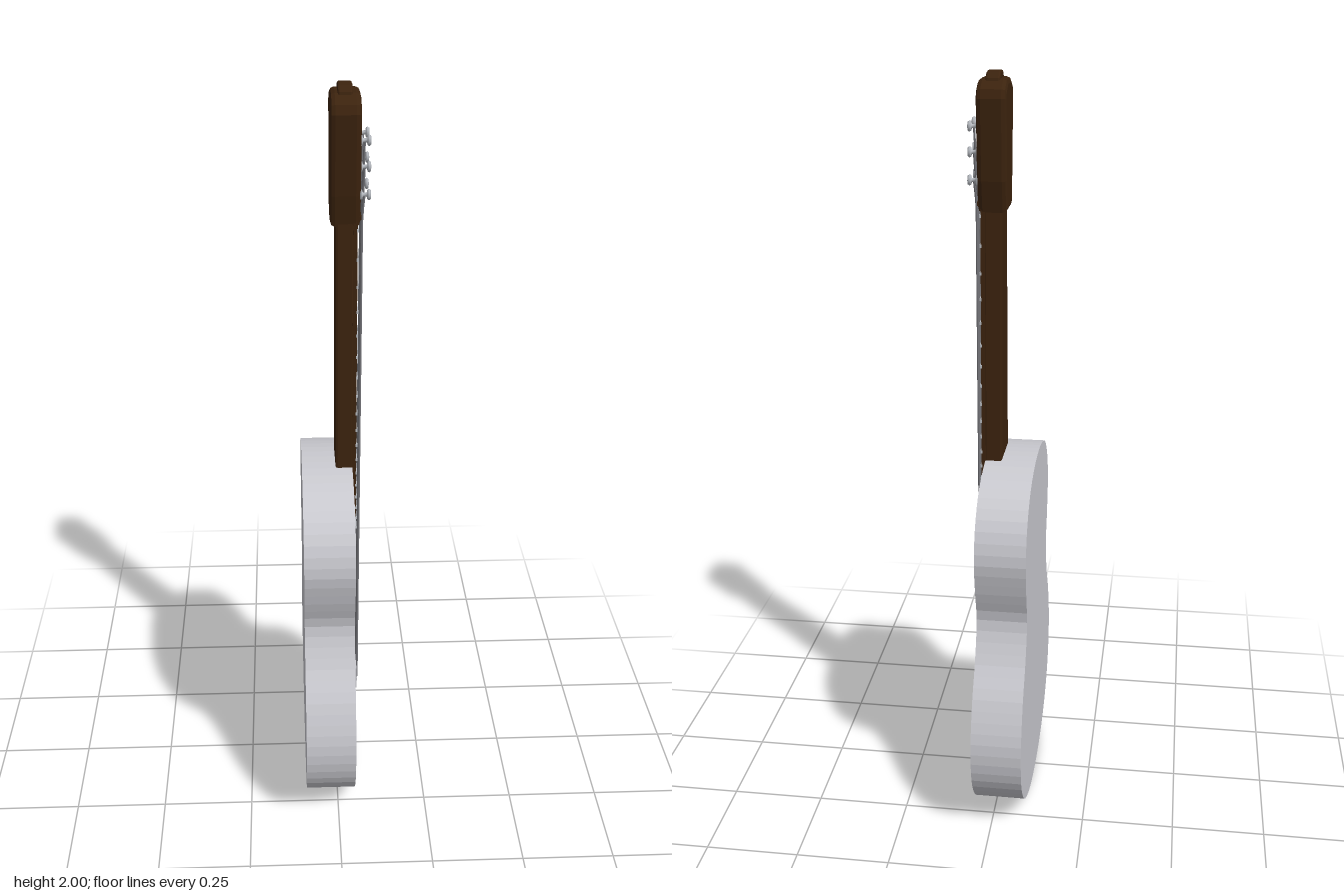
import * as THREE from 'three';

const mat = (name, color) => {
  const m = new THREE.MeshStandardMaterial({ color });
  m.name = name;
  return m;
};

export function createModel() {
  const guitar = new THREE.Group();
  guitar.name = 'guitar';
  const pale = mat('pale grey', 0xcacad0);
  const brown = mat('dark brown', 0x3c230e);
  const steel = mat('string steel', 0x77777c);
  const silver = mat('silver', 0xb8bcc2);

  const add = (name, geometry, material, parent = guitar) => {
    const mesh = new THREE.Mesh(geometry, material);
    mesh.name = name;
    parent.add(mesh);
    return mesh;
  };
  const group = (name) => {
    const g = new THREE.Group();
    g.name = name;
    guitar.add(g);
    return g;
  };
  // Outline given as [z, y], extruded along x from x0 to x1
  const slab = (points, x0, x1, bevel = 0, hole = 0) => {
    const shape = new THREE.Shape(points.map(([z, y]) => new THREE.Vector2(-z, y)));
    if (hole) shape.holes.push(new THREE.Path().absarc(0, 0.685, hole, 0, Math.PI * 2, true));
    const g = new THREE.ExtrudeGeometry(shape, {
      depth: x1 - x0 - 2 * bevel, bevelEnabled: bevel > 0, bevelSize: bevel,
      bevelThickness: bevel, bevelOffset: -bevel, bevelSegments: 2, curveSegments: 24,
    });
    return g.translate(0, 0, x0 + bevel).rotateY(Math.PI / 2);
  };
  const box = (x0, x1, y0, y1, z0, z1) =>
    new THREE.BoxGeometry(x1 - x0, y1 - y0, z1 - z0)
      .translate((x0 + x1) / 2, (y0 + y1) / 2, (z0 + z1) / 2);

  // Body: mirrored outline, solid back and a deep round sound hole
  const half = [[0, 1], [0.1, 0.99], [0.19, 0.957], [0.255, 0.89], [0.282, 0.8], [0.266, 0.7],
    [0.243, 0.61], [0.275, 0.51], [0.335, 0.41], [0.372, 0.28], [0.355, 0.17], [0.29, 0.085],
    [0.2, 0.034], [0.1, 0.007], [0, 0]];
  const loop = [...half, ...half.slice(1, -1).reverse().map(([z, y]) => [-z, y])];
  const outline = new THREE.CatmullRomCurve3(
    loop.map(([z, y]) => new THREE.Vector3(z, y, 0)), true)
    .getSpacedPoints(96).slice(0, -1).map((p) => [p.x, p.y]);
  add('bodyBack', slab(outline, -0.09, -0.045), pale);
  add('bodyFront', slab(outline, -0.045, 0.045, 0, 0.094), pale);

  // Flat ring round the sound hole
  const ring = [];
  for (let i = 0; i < 48; i++) {
    const a = (i / 48) * Math.PI * 2;
    ring.push([0.13 * Math.cos(a), 0.685 + 0.13 * Math.sin(a)]);
  }
  add('soundHoleRing', slab(ring, 0.045, 0.047, 0, 0.094), pale);

  // Bridge
  const bridge = group('bridge');
  add('bridgeBase', box(0.045, 0.053, 0.28, 0.342, -0.19, 0.19), pale, bridge);
  add('bridgeBlock', box(0.045, 0.06, 0.275, 0.345, -0.083, 0.083), pale, bridge);
  add('saddle', box(0.053, 0.063, 0.29, 0.3, -0.07, 0.07), pale, bridge);

  // Neck and fingerboard taper towards the head
  add('neck', slab([[0.06, 0.995], [-0.066, 0.995], [-0.056, 1.7], [0.038, 1.7]], 0, 0.048, 0.006), brown);
  add('fingerboard', slab([[0.066, 0.765], [-0.071, 0.765], [-0.057, 1.68], [0.039, 1.68]], 0.044, 0.055), brown);

  // Headstock with a small crown
  add('headstock', slab([[0.038, 1.66], [-0.057, 1.66], [-0.074, 1.74], [-0.087, 1.94], [-0.08, 1.962],
    [-0.045, 1.982], [0.02, 1.982], [0.055, 1.962], [0.064, 1.94], [0.05, 1.74]], -0.013, 0.062, 0.012), brown);
  add('crown', slab([[0.03, 1.965], [-0.055, 1.965], [-0.05, 1.985], [-0.035, 1.998], [-0.012, 2],
    [0.012, 1.998], [0.025, 1.985]], 0.006, 0.042, 0.005), brown);

  // Frets, spaced in the usual shrinking ratio
  const frets = group('frets');
  for (let n = 1; n <= 18; n++) {
    const y = 1.73 - 1.42 * (1 - 2 ** (-n / 12));
    const t = (y - 0.765) / 0.915;
    add('fret', box(0.053, 0.058, y - 0.004, y + 0.004,
      -0.072 + 0.013 * t, 0.067 - 0.026 * t), silver, frets);
  }
  add('nut', box(0.05, 0.064, 1.676, 1.686, -0.055, 0.037), brown);

  // Tuning pegs: post, collar and rounded knob
  const pegs = [[0.035, 1.74], [0.031, 1.808], [0.024, 1.87], [-0.047, 1.87], [-0.05, 1.808], [-0.055, 1.74]];
  const pegGroup = group('tuningPegs');
  const pegProfile = [[0, 0], [0.012, 0], [0.012, 0.005], [0.005, 0.007], [0.005, 0.016],
    [0.012, 0.018], [0.014, 0.022], [0.011, 0.026], [0, 0.027]].map(([r, h]) => new THREE.Vector2(r, h));
  const pegGeometry = new THREE.LatheGeometry(pegProfile, 10).rotateZ(-Math.PI / 2);
  for (const [z, y] of pegs) {
    add('tuningPeg', pegGeometry, silver, pegGroup).position.set(0.06, y, z);
  }

  // Strings from bridge over the nut to the pegs
  const strings = group('strings');
  pegs.forEach(([z, y], i) => {
    const low = 0.06 - i * 0.0245;
    const high = 0.027 - i * 0.0145;
    const path = new THREE.CurvePath();
    const p = [[0.062, 0.3, low], [0.066, 1.682, high], [0.071, y, z]]
      .map((v) => new THREE.Vector3(...v));
    path.add(new THREE.LineCurve3(p[0], p[1]));
    path.add(new THREE.LineCurve3(p[1], p[2]));
    add('string', new THREE.TubeGeometry(path, 40, 0.0028, 6), steel, strings);
  });

  return guitar;
}
